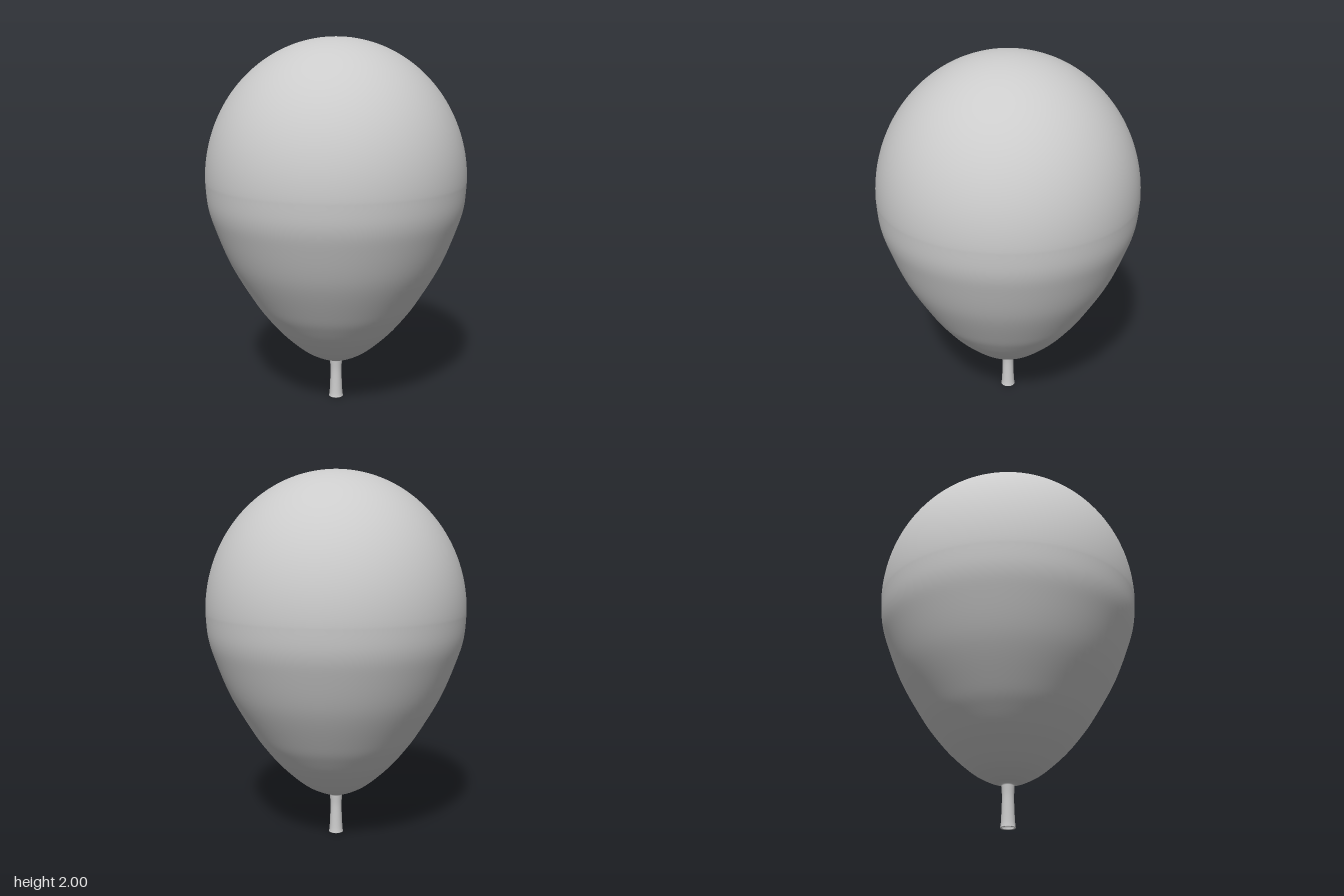
import * as THREE from 'three';

const vec = ([r, y]) => new THREE.Vector2(r, y);
const SEGMENTS = 96;

// Revolves a profile (radius, height) running from bottom to top
function revolve(name, points, material) {
  const mesh = new THREE.Mesh(new THREE.LatheGeometry(points, SEGMENTS), material);
  mesh.name = name;
  return mesh;
}

export function createModel() {
  const model = new THREE.Group();
  model.name = 'balloon';
  const rubber = new THREE.MeshStandardMaterial({ color: 0xcccccc, side: THREE.DoubleSide });

  // Inflated body: tapering lower half, then a quarter-ellipse dome
  const radius = 0.7, middle = 1.25, domeHeight = 0.75;
  const lower = new THREE.SplineCurve([
    [0.034, 0.21], [0.042, 0.226], [0.1, 0.245], [0.19, 0.297], [0.305, 0.4], [0.39, 0.5], [0.46, 0.6],
    [0.575, 0.8], [0.655, 1.0], [0.689, 1.12], [radius, middle],
  ].map(vec)).getPoints(60);
  const dome = [];
  for (let i = 1; i <= 40; i++) {
    const a = (i / 40) * Math.PI / 2;
    dome.push(vec([i === 40 ? 0 : radius * Math.cos(a), middle + domeHeight * Math.sin(a)]));
  }
  model.add(revolve('body', [...lower, ...dome], rubber));

  // Open neck, flaring slightly towards the mouth
  const neck = new THREE.SplineCurve([
    [0.039, 0.005], [0.036, 0.03], [0.033, 0.09], [0.031, 0.16], [0.034, 0.21],
  ].map(vec)).getPoints(20);
  model.add(revolve('neck', neck, rubber));

  // Thin rolled rim around the mouth
  const rim = new THREE.Mesh(new THREE.TorusGeometry(0.036, 0.004, 10, SEGMENTS), rubber);
  rim.name = 'mouthRim';
  rim.rotation.x = Math.PI / 2;
  rim.position.y = 0.004;
  model.add(rim);

  return model;
}
